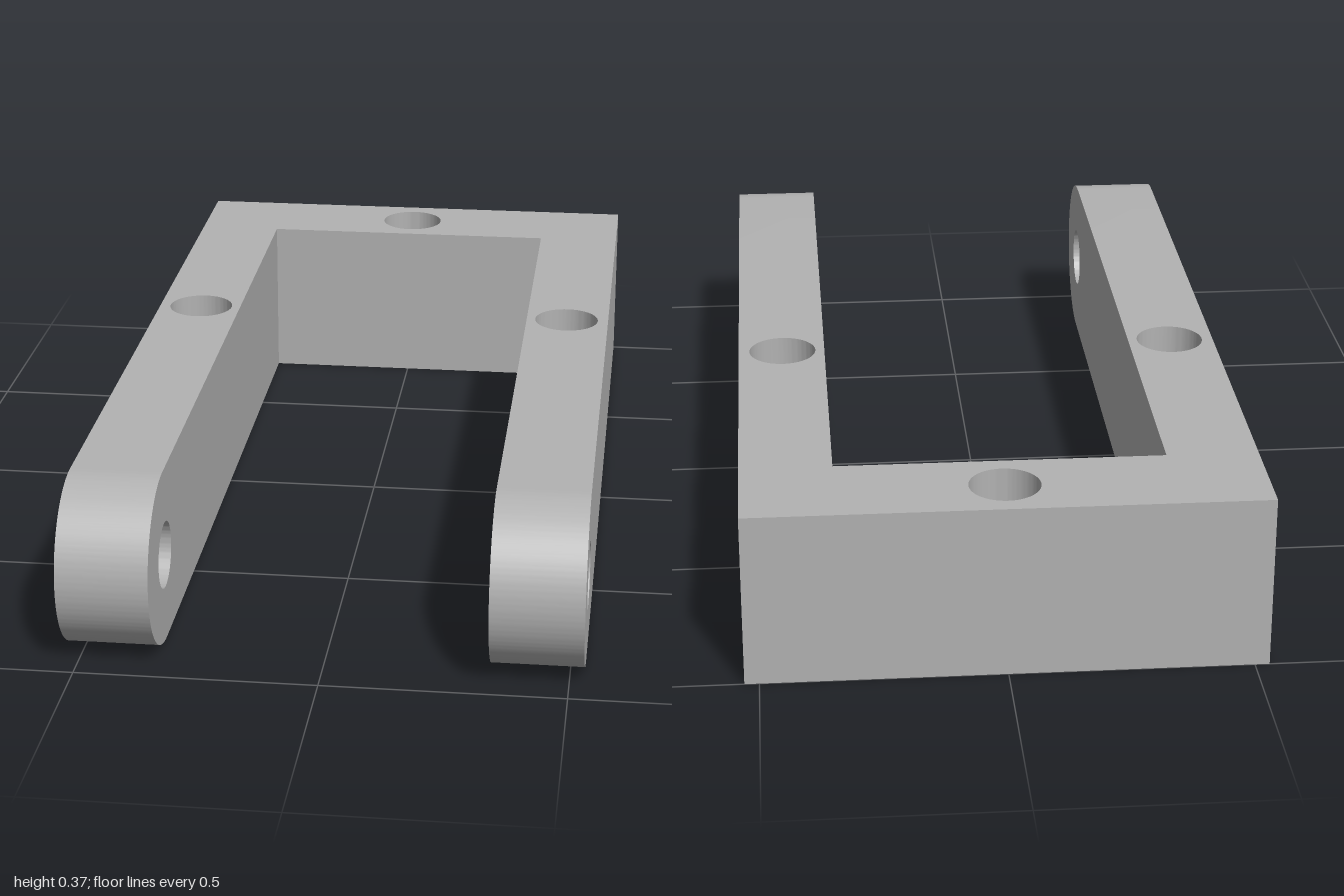
import * as THREE from 'three';
import { toCreasedNormals } from 'three/addons/utils/BufferGeometryUtils.js';

const OUTER = 0.53, INNER = 0.34, HEIGHT = 0.37;
const BACK = -1, BAR_FRONT = -0.78, JOINT = 0.4, PIN_Z = 0.815;
const HOLE_R = 0.073, PIN_R = 0.07;

function addHole(shape, x, y, r) {
  const hole = new THREE.Path();
  hole.absarc(x, y, r, 0, Math.PI * 2, true);
  shape.holes.push(hole);
}

function extrude(shape, depth) {
  return new THREE.ExtrudeGeometry(shape, { depth, bevelEnabled: false, curveSegments: 48 });
}

// Drops the hidden walls where the arms meet their tips
function openJoint(geometry) {
  const p = geometry.attributes.position;
  const kept = [];
  for (let i = 0; i < p.count; i += 3) {
    if ([0, 1, 2].every((k) => Math.abs(p.getZ(i + k) - JOINT) < 1e-5)) continue;
    for (let k = 0; k < 3; k++) kept.push(p.getX(i + k), p.getY(i + k), p.getZ(i + k));
  }
  const open = new THREE.BufferGeometry();
  open.setAttribute('position', new THREE.Float32BufferAttribute(kept, 3));
  return toCreasedNormals(open, 0.5);
}

export function createModel() {
  const group = new THREE.Group();
  group.name = 'forkBracket';
  const grey = new THREE.MeshStandardMaterial({ color: 0xb2b2b2 });
  grey.name = 'plain grey';

  const add = (name, geometry) => {
    const mesh = new THREE.Mesh(openJoint(geometry), grey);
    mesh.name = name;
    group.add(mesh);
  };

  // U-shaped body with three vertical bolt holes (shape y is -z)
  const outline = [
    [-OUTER, -JOINT], [-INNER, -JOINT], [-INNER, -BAR_FRONT], [INNER, -BAR_FRONT],
    [INNER, -JOINT], [OUTER, -JOINT], [OUTER, -BACK], [-OUTER, -BACK],
  ];
  const body = new THREE.Shape(outline.map(([x, y]) => new THREE.Vector2(x, y)));
  addHole(body, 0, 0.89, HOLE_R);
  for (const side of [-1, 1]) addHole(body, side * 0.433, 0.18, HOLE_R);
  add('forkBody', extrude(body, HEIGHT).rotateX(-Math.PI / 2));

  // Rounded arm tips with a cross pin hole (shape x is z)
  const r = HEIGHT / 2;
  const tip = new THREE.Shape();
  tip.moveTo(JOINT, 0);
  tip.lineTo(PIN_Z, 0);
  tip.absarc(PIN_Z, r, r, -Math.PI / 2, Math.PI / 2, false);
  tip.lineTo(JOINT, HEIGHT);
  tip.closePath();
  addHole(tip, PIN_Z, r, PIN_R);
  for (const [name, x] of [['leftArmTip', OUTER], ['rightArmTip', -INNER]]) {
    add(name, extrude(tip, OUTER - INNER).rotateY(-Math.PI / 2).translate(x, 0, 0));
  }

  return group;
}
